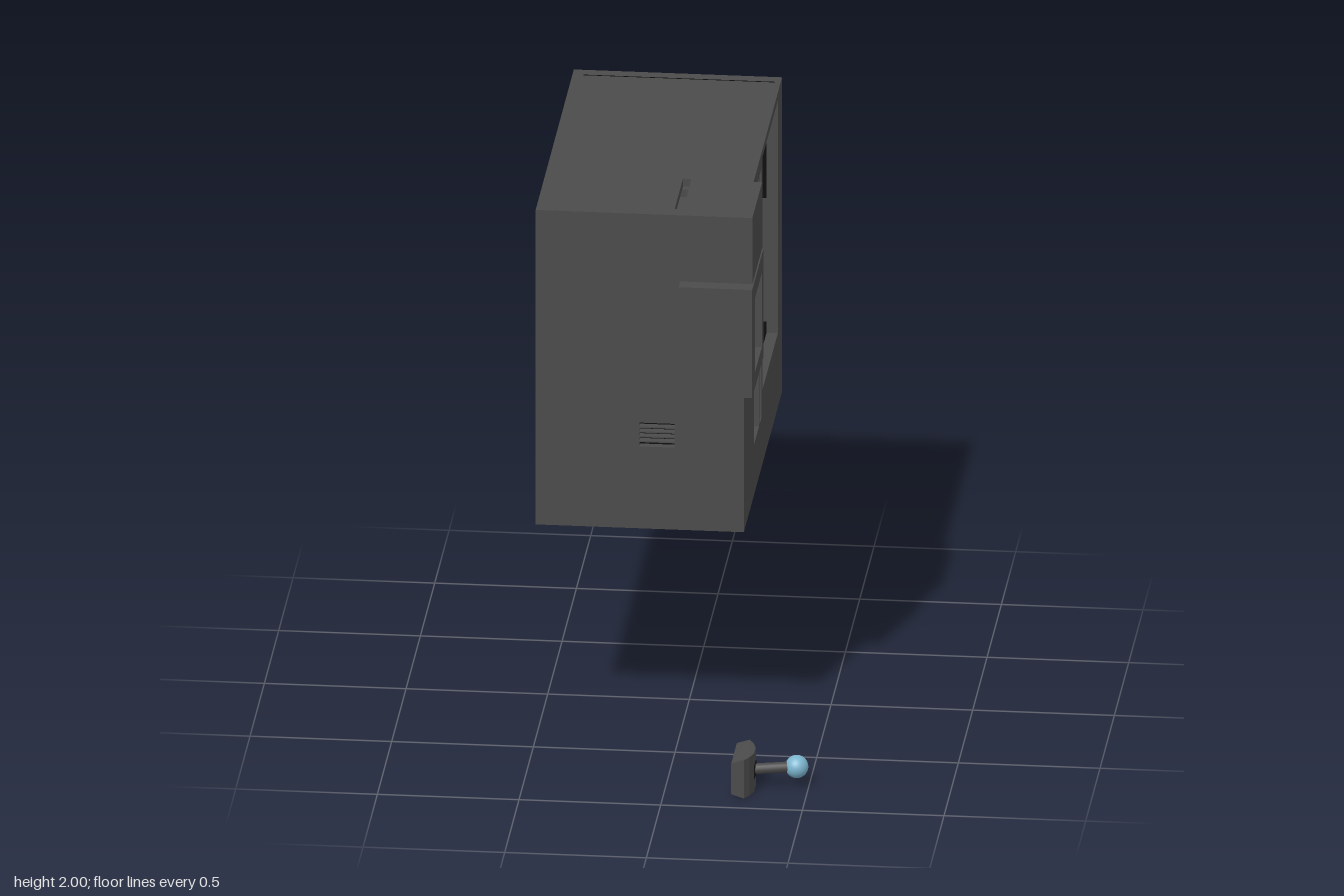
import * as THREE from 'three';

export function createModel() {
  const root = new THREE.Group();
  const mat = (name, color, side = THREE.FrontSide) => {
    const m = new THREE.MeshStandardMaterial({ color, side });
    m.name = name;
    return m;
  };
  const grey = mat('casing grey', 0x4b4b4b);
  const black = mat('hopper black', 0x0b0b0b, THREE.DoubleSide);
  const blue = mat('pale blue', 0x7cb5ce);

  const add = (name, geo, m, parent = root) => {
    const mesh = new THREE.Mesh(geo, m);
    mesh.name = name;
    parent.add(mesh);
    return mesh;
  };
  // box given by its limits on each axis
  const box = (name, m, x0, x1, y0, y1, z0, z1) => {
    const g = new THREE.BoxGeometry(x1 - x0, y1 - y0, z1 - z0);
    g.translate((x0 + x1) / 2, (y0 + y1) / 2, (z0 + z1) / 2);
    return add(name, g, m);
  };
  const trace = (p, a0, a1, b0, b1) => {
    p.moveTo(a0, b0); p.lineTo(a1, b0); p.lineTo(a1, b1); p.lineTo(a0, b1); p.closePath();
    return p;
  };
  // flat sheet with rectangular holes, extruded along z
  const sheet = (rect, holes, depth) => {
    const s = trace(new THREE.Shape(), ...rect);
    holes.forEach(([a0, a1, b0, b1]) => {
      const h = new THREE.Path();
      h.moveTo(a0, b0); h.lineTo(a0, b1); h.lineTo(a1, b1); h.lineTo(a1, b0); h.closePath();
      s.holes.push(h);
    });
    return new THREE.ExtrudeGeometry(s, { depth, bevelEnabled: false });
  };
  // sheet facing x; rectangles are [z0, z1, y0, y1]
  const sideSheet = (name, x0, x1, rect, holes) => {
    const flip = ([z0, z1, y0, y1]) => [-z1, -z0, y0, y1];
    const g = sheet(flip(rect), holes.map(flip), x1 - x0);
    g.rotateY(Math.PI / 2).translate(x0, 0, 0);
    return add(name, g, grey);
  };

  // casing
  const pocket = [0.14, 0.37, 1.40, 1.68];
  sideSheet('serviceSide', 0.195, 0.235, [-0.91, 0.42, 0.81, 2], [
    pocket, [-0.105, 0.06, 1, 1.94], [-0.19, -0.13, 1, 1.94], [-0.765, -0.23, 1.09, 1.97]]);
  sideSheet('ventSide', -0.5, -0.46, [-0.91, 0.42, 0.81, 2], [[-0.76, 0.23, 1.12, 1.21]]);
  add('frontWall', sheet([-0.46, 0.195, 0.81, 2], [[-0.135, -0.01, 1.12, 1.21]], 0.04)
    .translate(0, 0, 0.38), grey);
  add('backWall', sheet([-0.46, 0.195, 0.81, 2], [[-0.405, 0.02, 1.10, 1.245]], 0.04)
    .translate(0, 0, -0.91), grey);
  add('topWall', sheet([-0.46, 0.195, -0.38, 0.87], [[-0.015, 0.015, -0.36, -0.075]], 0.03)
    .rotateX(-Math.PI / 2).translate(0, 1.97, 0), grey);
  box('bottomWall', grey, -0.46, 0.195, 0.81, 0.85, -0.87, 0.38);
  box('topSlotFloor', grey, -0.04, 0.04, 1.91, 1.93, 0.075, 0.375);
  box('topSeam', black, -0.46, 0.215, 1.997, 2.001, -0.863, -0.859);

  // raised corner and dispenser block
  sideSheet('raisedCorner', 0.235, 0.265, [0.08, 0.42, 1.34, 2], [pocket]);
  sideSheet('dispenserBlock', 0.01, 0.27, [0.081, 0.475, 1.341, 1.75], [pocket]);
  box('dispenserBack', grey, 0.012, 0.04, 1.39, 1.69, 0.13, 0.38);
  add('dispenserChute', new THREE.CylinderGeometry(0.09, 0.09, 0.13, 24)
    .rotateZ(Math.PI / 2).translate(0.105, 1.4, 0.235), grey);

  // vents: dark backing and slats
  box('frontGrilleBacking', black, -0.145, 0, 1.11, 1.22, 0.385, 0.392);
  box('sideVentBacking', black, -0.468, -0.461, 1.12, 1.21, -0.76, 0.23);
  for (let i = 0; i < 4; i++) {
    const y = 1.136 + i * 0.018;
    box('frontGrilleSlat', grey, -0.135, -0.01, y, y + 0.005, 0.392, 0.419);
    box('sideVentSlat', grey, -0.497, -0.468, y, y + 0.008, -0.76, 0.23);
  }

  // display bay with shelves
  box('bayBack', blue, -0.11, -0.1, 1, 1.94, -0.19, 0.06);
  box('bayFrontWall', grey, -0.11, 0.195, 0.98, 1.96, 0.06, 0.075);
  box('bayRearWall', grey, -0.46, 0.195, 0.85, 1.97, -0.23, -0.19);
  box('bayFloor', grey, -0.11, 0.195, 0.98, 1, -0.19, 0.06);
  box('bayCeiling', grey, -0.11, 0.195, 1.94, 1.96, -0.19, 0.06);
  [1.195, 1.455, 1.68].forEach(y => box('shelf', blue, -0.1, 0.19, y - 0.006, y + 0.006, -0.19, 0.06));

  // main chamber floor and dark upper lining
  box('chamberFloor', black, -0.46, 0.195, 1.08, 1.09, -0.87, -0.23);
  box('chamberVentStrip', black, -0.459, -0.452, 1.14, 1.215, -0.87, -0.23);
  box('liningRear', black, 0.07, 0.195, 1.56, 1.97, -0.869, -0.862);
  box('liningFront', black, 0.07, 0.195, 1.56, 1.97, -0.238, -0.231);

  // hopper: conical funnel trimmed by a rectangular bin, with a round spout
  const cx = -0.16, cz = -0.545, hx = 0.23, hz = 0.315, r = 0.165, N = 64;
  const pos = [], idx = [];
  for (let i = 0; i <= N; i++) {
    const a = i / N * Math.PI * 2, c = Math.cos(a), s = Math.sin(a);
    const R = Math.min(hx / Math.max(Math.abs(c), 1e-6), hz / Math.max(Math.abs(s), 1e-6));
    [[R, 1.969], [R, 1.42 + R - r], [r, 1.42], [r, 1.285]].forEach(([d, y]) =>
      pos.push(cx + c * d, y, cz + s * d));
    if (i < N) for (let j = 0; j < 3; j++) {
      const p = i * 4 + j, q = p + 4;
      idx.push(p, q, p + 1, q, q + 1, p + 1);
    }
  }
  let hopper = new THREE.BufferGeometry();
  hopper.setAttribute('position', new THREE.Float32BufferAttribute(pos, 3));
  hopper.setIndex(idx);
  hopper = hopper.toNonIndexed();
  hopper.computeVertexNormals();
  add('hopper', hopper, black);

  // separate lever: tapered mount, rod and ball
  const lever = new THREE.Group();
  lever.name = 'lever';
  root.add(lever);
  const outline = [[0.24, 0.715], [0.285, 0.715], [0.302, 0.745], [0.314, 0.785],
    [0.314, 0.84], [0.302, 0.88], [0.285, 0.91], [0.24, 0.91]];
  const mount = new THREE.ExtrudeGeometry(
    new THREE.Shape(outline.map(([x, z]) => new THREE.Vector2(x, -z))),
    { depth: 0.145, bevelEnabled: false }).rotateX(-Math.PI / 2);
  const mp = mount.attributes.position;
  for (let i = 0; i < mp.count; i++) {
    if (mp.getX(i) < 0.25) mp.setY(i, 0.0725 + (mp.getY(i) - 0.0725) * 0.8);
  }
  mount.computeVertexNormals();
  add('leverMount', mount, grey, lever);
  add('leverSocket', new THREE.BoxGeometry(0.008, 0.05, 0.055).translate(0.312, 0.0725, 0.8125), black, lever);
  const from = new THREE.Vector3(0.3, 0.0725, 0.81), to = new THREE.Vector3(0.455, 0.0725, 0.77);
  add('leverRod', new THREE.TubeGeometry(new THREE.LineCurve3(from, to), 1, 0.019, 16), grey, lever);
  add('leverBall', new THREE.SphereGeometry(0.041, 24, 16).translate(0.457, 0.0725, 0.77), blue, lever);

  return root;
}
